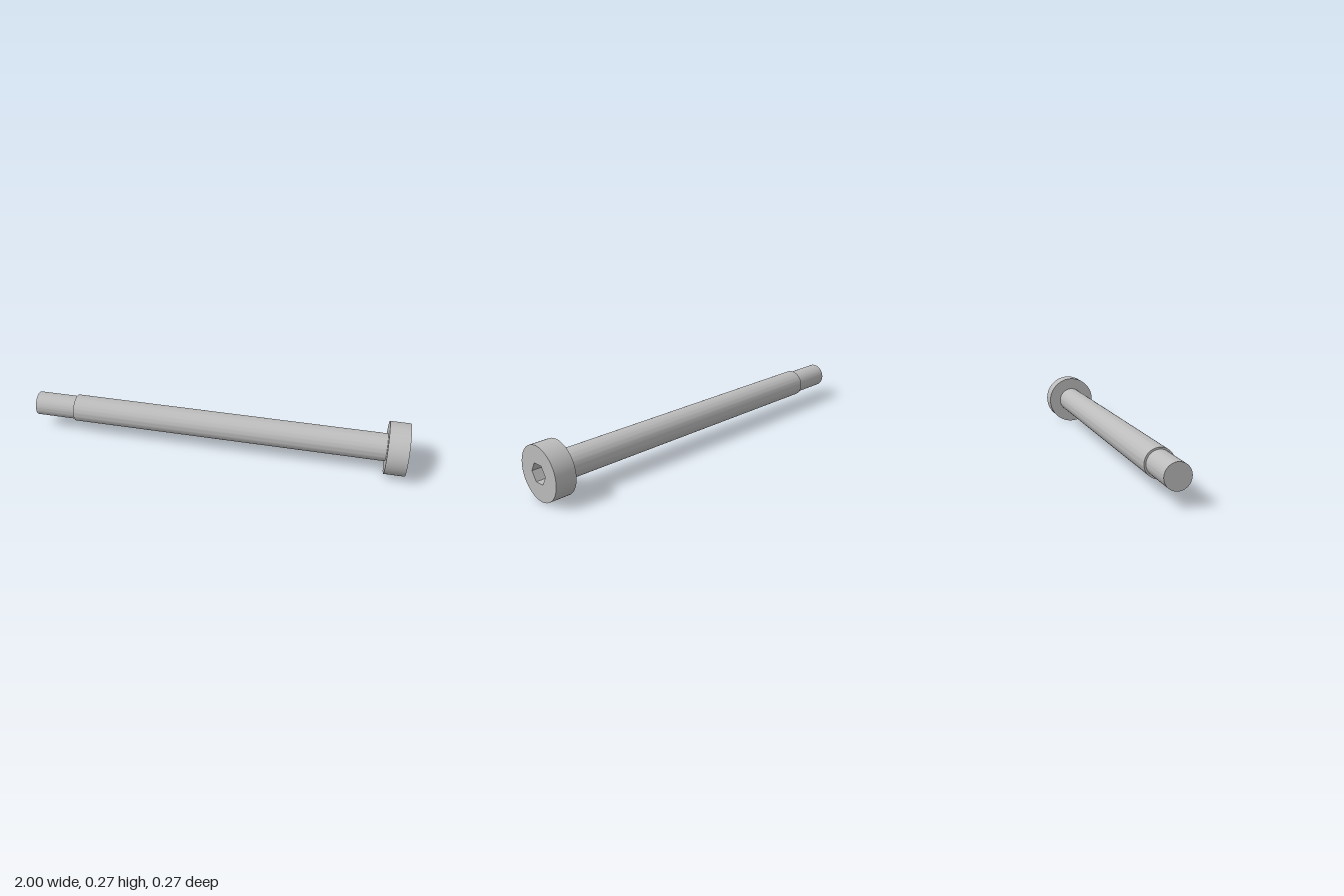
import * as THREE from 'three';
import { toCreasedNormals } from 'three/addons/utils/BufferGeometryUtils.js';

const HEAD_R = 0.137, SHAFT_R = 0.072, TIP_R = 0.063;
const HEX_R = 0.054, HEX_TURN = THREE.MathUtils.degToRad(2);
const SHOULDER_X = -0.78, HEAD_X = 0.893, SOCKET_X = 0.925;

export function createModel() {
  const bolt = new THREE.Group();
  bolt.name = 'shoulderBolt';
  const steel = new THREE.MeshStandardMaterial({ color: 0xbcbcbc });
  steel.name = 'steel grey';

  const add = (name, geometry) => {
    const mesh = new THREE.Mesh(geometry, steel);
    mesh.name = name;
    mesh.position.y = HEAD_R;
    bolt.add(mesh);
  };

  // Turn a profile of [radius, x] pairs around the x axis
  const turned = (profile, sides = 64, start = 0) => {
    const points = profile.map(([r, x]) => new THREE.Vector2(r, x));
    const geometry = new THREE.LatheGeometry(points, sides, start);
    geometry.rotateZ(-Math.PI / 2);
    return toCreasedNormals(geometry, 0.6);
  };

  // Stepped body
  add('tip', turned([[0, -1], [TIP_R, -1], [TIP_R, SHOULDER_X]]));
  add('shaft', turned([[TIP_R, SHOULDER_X], [SHAFT_R, SHOULDER_X], [SHAFT_R, HEAD_X]]));
  add('head', turned([[SHAFT_R, HEAD_X], [HEAD_R, HEAD_X], [HEAD_R, 1]]));

  // Hexagonal socket: walls and floor facing inward
  add('socket', turned([[HEX_R, 1], [HEX_R, SOCKET_X], [0, SOCKET_X]], 6, HEX_TURN));

  // End face of the head, with the socket opening
  const face = new THREE.Shape().absarc(0, 0, HEAD_R, 0, Math.PI * 2);
  const corners = [];
  for (let i = 0; i < 6; i++) {
    const a = i * Math.PI / 3 - HEX_TURN;
    corners.push(new THREE.Vector2(-HEX_R * Math.cos(a), HEX_R * Math.sin(a)));
  }
  face.holes.push(new THREE.Path(corners));
  const faceGeometry = new THREE.ShapeGeometry(face, 64);
  faceGeometry.rotateY(Math.PI / 2).translate(1, 0, 0);
  add('headFace', faceGeometry);

  return bolt;
}
